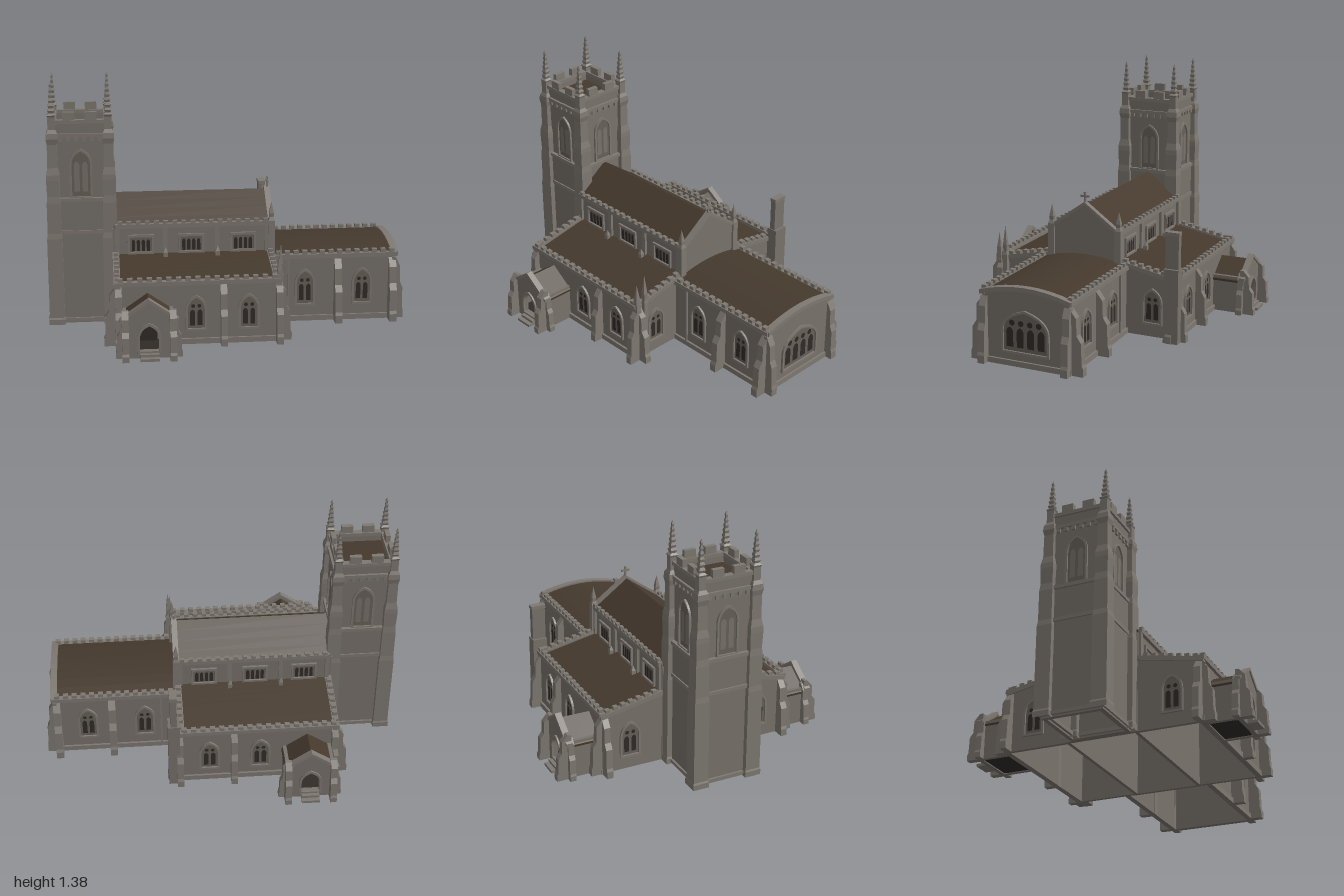
import * as THREE from 'three';
import { mergeGeometries } from 'three/addons/utils/BufferGeometryUtils.js';

const mat = (name, color) => Object.assign(new THREE.MeshStandardMaterial({ color }), { name });

export function createModel() {
  const stone = mat('stone', 0x78726b), trim = mat('dressed stone', 0x7e7871);
  const shade = mat('tracery stone', 0x676159), roofMat = mat('roof lead', 0x45392d);
  const glass = mat('dark glass', 0x302b27);
  const church = new THREE.Group();
  church.name = 'church';

  const add = (name, geo, m, parent = church) => {
    const mesh = new THREE.Mesh(geo, m);
    mesh.name = name;
    parent.add(mesh);
    return mesh;
  };
  const block = (x0, x1, y0, y1, z0, z1) =>
    new THREE.BoxGeometry(Math.abs(x1 - x0), y1 - y0, Math.abs(z1 - z0))
      .translate((x0 + x1) / 2, (y0 + y1) / 2, (z0 + z1) / 2);
  const box = (name, m, ...r) => add(name, block(...r), m);
  const poly = pts => new THREE.Shape(pts.map(p => new THREE.Vector2(...p)));
  const extrude = (shape, depth) =>
    new THREE.ExtrudeGeometry(shape, { depth, bevelEnabled: false, curveSegments: 6 });

  // Outline in z and y, stretched from x0 to x1
  const slab = (name, m, pts, x0, x1) =>
    add(name, extrude(poly(pts), x1 - x0).rotateY(-Math.PI / 2).translate(x1, 0, 0), m);
  // Band of thickness t hanging under a height rule f(z)
  const band = (f, z0, z1, t, n = 8) => {
    const top = Array.from({ length: n + 1 }, (_, i) => z0 + (z1 - z0) * i / n).map(z => [z, f(z)]);
    return [...top, ...top.map(([z, y]) => [z, y - t]).reverse()];
  };
  const roof = (name, f, z0, z1, x0, x1) => {
    slab(name, roofMat, band(f, z0, z1, 0.012), x0, x1);
    slab(name + 'Ceiling', stone, band(z => f(z) - 0.013, z0, z1, 0.006), x0, x1);
  };
  // Row of merlons between two points
  const battlements = (name, a, b, n, w, h, d) => {
    const alongX = Math.abs(b[0] - a[0]) > Math.abs(b[2] - a[2]);
    const geos = Array.from({ length: n }, (_, i) => {
      const p = a.map((v, k) => v + (b[k] - v) * (i + 0.5) / n);
      return new THREE.BoxGeometry(alongX ? w : d, h, alongX ? d : w).translate(...p);
    });
    add(name, mergeGeometries(geos), trim);
  };
  // Square tapering post from [half width, y] steps
  const post = (name, x, z, steps, m = trim) => {
    const pts = steps.map(([r, y]) => new THREE.Vector2(r * Math.SQRT2, y));
    const g = new THREE.LatheGeometry(pts, 4, Math.PI / 4).toNonIndexed();
    g.computeVertexNormals();
    add(name, g.translate(x, 0, z), m);
  };
  // Stepped buttress; angle 0 projects to +x, -90 degrees to +z
  const buttress = (x, z, angle, d, w, h) => {
    const s = poly([[-0.02, 0], [d, 0], [d, 0.12 * h], [d * 0.9, 0.17 * h], [d * 0.85, 0.5 * h],
      [d * 0.55, 0.6 * h], [d * 0.5, 0.86 * h], [0, h], [-0.02, h]]);
    add('buttress', extrude(s, w).translate(0, 0, -w / 2).rotateY(angle).translate(x, 0, z), trim);
  };
  const OUT = s => -s * Math.PI / 2;

  // Pointed arch outline
  const arch = (Type, w, h, x = 0, y = 0) => {
    const r = Math.min(0.75 * w, 0.5 * h), p = new Type();
    p.moveTo(x - w / 2, y);
    p.lineTo(x + w / 2, y);
    p.lineTo(x + w / 2, y + h - r);
    p.quadraticCurveTo(x + w / 2, y + h - 0.3 * r, x, y + h);
    p.quadraticCurveTo(x - w / 2, y + h - 0.3 * r, x - w / 2, y + h - r);
    p.lineTo(x - w / 2, y);
    return p;
  };
  const rect = (Type, w, h, x = 0, y = 0) => new Type([[-1, 0], [1, 0], [1, 1], [-1, 1]]
    .map(([a, b]) => new THREE.Vector2(x + a * w / 2, y + b * h)));
  // Window facing +z before turning: hood, tracery panel and dark lights
  const windowAt = (name, x, y, z, turn, w, h, lights, { square = false, lightH = 0.45, eyes = true, pane = glass } = {}) => {
    const g = new THREE.Group(), outline = square ? rect : arch;
    g.name = name;
    const ring = outline(THREE.Shape, w, h);
    ring.holes.push(outline(THREE.Path, w - 0.024, h - 0.026, 0, 0.012));
    add('windowFrame', extrude(ring, 0.012), trim, g);
    add('tracery', new THREE.ShapeGeometry(outline(THREE.Shape, w - 0.02, h - 0.02, 0, 0.01)).translate(0, 0, 0.002), shade, g);
    const step = (w - 0.035) / lights;
    for (let i = 0; i < lights; i++) {
      const lx = (i - (lights - 1) / 2) * step;
      add('light', new THREE.ShapeGeometry(arch(THREE.Shape, step * 0.66, h * lightH, lx, h * 0.14)).translate(0, 0, 0.004), pane, g);
      if (eyes) add('upperLight', new THREE.CircleGeometry(step * 0.27, 8).translate(lx * 0.85, h * 0.69, 0.004), pane, g);
    }
    g.position.set(x, y, z);
    g.rotation.y = turn;
    church.add(g);
  };
  const FACE = s => (s > 0 ? 0 : Math.PI);

  // Tower walls, floor bands and roof
  const tx = -0.8;
  for (const s of [1, -1]) {
    box('towerWall', stone, -0.965, -0.635, 0, 0.72, s * 0.145, s * 0.168);
    box('towerWall', stone, tx + s * 0.142, tx + s * 0.165, 0, 0.72, -0.145, 0.145);
    box('belfryWall', stone, -0.955, -0.645, 0.72, 1.14, s * 0.135, s * 0.155);
    box('belfryWall', stone, tx + s * 0.135, tx + s * 0.155, 0.72, 1.14, -0.135, 0.135);
    for (const [y, r] of [[0.02, 0.178], [0.53, 0.175], [0.715, 0.176], [1.075, 0.168], [1.15, 0.166]]) {
      box('towerStringCourse', trim, tx - r, tx + r, y - 0.01, y + 0.01, s * 0.13, s * r);
      box('towerStringCourse', trim, tx + s * 0.13, tx + s * r, y - 0.01, y + 0.01, -0.13, 0.13);
    }
    battlements('towerCorbels', [tx - 0.13, 1.055, s * 0.158], [tx + 0.13, 1.055, s * 0.158], 6, 0.02, 0.025, 0.016);
    battlements('towerCorbels', [tx + s * 0.158, 1.055, -0.13], [tx + s * 0.158, 1.055, 0.13], 6, 0.02, 0.025, 0.016);
    battlements('towerMerlons', [tx - 0.12, 1.18, s * 0.15], [tx + 0.12, 1.18, s * 0.15], 2, 0.065, 0.045, 0.026);
    battlements('towerMerlons', [tx + s * 0.15, 1.18, -0.12], [tx + s * 0.15, 1.18, 0.12], 2, 0.065, 0.045, 0.026);
    const louvre = { lightH: 0.6, eyes: false, pane: stone };
    windowAt('belfryWindow', tx, 0.72, s * 0.155, FACE(s), 0.125, 0.28, 2, louvre);
    windowAt('belfryWindow', tx + s * 0.155, 0.72, 0, s * Math.PI / 2, 0.125, 0.28, 2, louvre);
    // Corner posts with knobbly pinnacles
    for (const e of [1, -1]) {
      const steps = [[0.046, 0], [0.046, 0.03], [0.042, 0.04], [0.042, 0.5], [0.038, 0.53], [0.038, 0.7], [0.034, 0.74],
        [0.037, 0.83], [0.036, 0.86], [0.028, 0.9], [0.027, 1.03], [0.033, 1.06], [0.03, 1.09], [0.02, 1.11], [0.02, 1.18], [0.024, 1.19]];
      for (let i = 0; i < 6; i++) {
        const r = 0.018 - i * 0.0023, y = 1.2 + i * 0.028;
        steps.push([r * 0.75, y], [r, y + 0.014]);
      }
      steps.push([0, 1.375]);
      post('towerCornerPost', tx + e * 0.153, s * 0.155, steps);
    }
  }
  box('towerRoof', roofMat, -0.94, -0.66, 1.09, 1.105, -0.137, 0.137);

  // Nave: gable ends, steep roof, cross
  const naveTop = z => 0.71 - Math.abs(z) * 0.72;
  const gable = h => [[-0.2, 0], [0.2, 0], [0.2, 0.57 + h], [0, 0.71 + h], [-0.2, 0.57 + h]];
  slab('naveEastGable', stone, gable(0.005), 0.235, 0.255);
  slab('naveWestGable', stone, gable(-0.02), -0.635, -0.615);
  slab('gableCoping', trim, band(z => naveTop(z) + 0.015, -0.215, 0.215, 0.02), 0.23, 0.262);
  roof('naveRoof', naveTop, -0.2, 0.2, -0.63, 0.235);
  box('crossShaft', trim, 0.243, 0.253, 0.71, 0.78, -0.006, 0.006);
  box('crossArms', trim, 0.243, 0.253, 0.75, 0.762, -0.026, 0.026);

  const aisleTop = z => 0.405 - (Math.abs(z) - 0.2) * 0.2;
  for (const s of [1, -1]) {
    // Clerestory
    box('naveWall', stone, -0.63, 0.24, 0, 0.57, s * 0.18, s * 0.2);
    box('naveParapet', trim, -0.62, 0.25, 0.555, 0.578, s * 0.19, s * 0.218);
    battlements('naveMerlons', [-0.62, 0.585, s * 0.207], [0.24, 0.585, s * 0.207], 17, 0.026, 0.018, 0.02);
    for (const x of [-0.48, -0.2, 0.09])
      windowAt('clerestoryWindow', x, 0.405, s * 0.2, FACE(s), 0.145, 0.11, 4, { square: true, lightH: 0.6, eyes: false });
    for (const x of [-0.61, -0.345, -0.055, 0.225])
      box('clerestoryPilaster', trim, x - 0.012, x + 0.012, 0.38, 0.56, s * 0.2, s * 0.215);
    for (const x of [-0.345, -0.055])
      post('waterSpout', x, s * 0.235, [[0.012, 0.39], [0.012, 0.42], [0, 0.45]]);
    post('naveFinial', 0.248, s * 0.205, [[0.02, 0.38], [0.018, 0.58], [0.011, 0.6], [0.013, 0.62], [0, 0.69]]);

    // Aisle walls, lean-to roof and parapets
    box('aisleWall', stone, -0.63, 0.25, 0, 0.345, s * 0.53, s * 0.55);
    box('aislePlinth', trim, -0.64, 0.26, 0, 0.03, s * 0.535, s * 0.562);
    box('aisleParapet', trim, -0.635, 0.255, 0.335, 0.358, s * 0.53, s * 0.566);
    battlements('aisleMerlons', [-0.63, 0.366, s * 0.548], [0.25, 0.366, s * 0.548], 17, 0.028, 0.022, 0.026);
    roof('aisleRoof', aisleTop, s * 0.2, s * 0.53, -0.615, 0.235);
    for (const x of [-0.63, 0.23]) {
      slab('aisleEndWall', stone, [[s * 0.2, 0], [s * 0.53, 0], [s * 0.53, 0.345], [s * 0.2, 0.4]], x, x + 0.02);
      slab('aisleEndParapet', trim, band(z => aisleTop(z) + 0.013, s * 0.2, s * 0.56, 0.025, 1), x - 0.008, x + 0.028);
      battlements('aisleEndMerlons', [x + 0.01, 0.418, s * 0.22], [x + 0.01, 0.356, s * 0.54], 7, 0.026, 0.024, 0.028);
    }
    for (const x of [-0.2, 0.085]) windowAt('aisleWindow', x, 0.075, s * 0.55, FACE(s), 0.115, 0.2, 2);
    windowAt('aisleEastWindow', 0.25, 0.07, s * 0.41, Math.PI / 2, 0.12, 0.21, 2);
    windowAt('aisleWestWindow', -0.63, 0.07, s * 0.39, -Math.PI / 2, 0.12, 0.21, 2);
    for (const x of [-0.615, -0.052, 0.25]) buttress(x, s * 0.55, OUT(s), 0.065, 0.036, 0.33);
    buttress(-0.63, s * 0.535, Math.PI, 0.065, 0.036, 0.33);
    buttress(0.25, s * 0.53, 0, 0.07, 0.036, 0.33);

    // Chancel sides
    box('chancelWall', stone, 0.25, 0.95, 0, 0.38, s * 0.232, s * 0.252);
    box('chancelPlinth', trim, 0.25, 0.96, 0, 0.03, s * 0.235, s * 0.264);
    box('chancelParapet', trim, 0.25, 0.955, 0.368, 0.392, s * 0.235, s * 0.268);
    battlements('chancelMerlons', [0.26, 0.401, s * 0.25], [0.95, 0.401, s * 0.25], 14, 0.028, 0.022, 0.026);
    for (const x of [0.435, 0.76]) windowAt('chancelWindow', x, 0.09, s * 0.252, FACE(s), 0.115, 0.215, 2);
    for (const x of [0.62, 0.93]) buttress(x, s * 0.25, OUT(s), 0.078, 0.04, 0.36);
    buttress(0.95, s * 0.243, 0, 0.05, 0.04, 0.36);
    box('drainPipe', trim, 0.335, 0.347, 0, 0.37, s * 0.25, s * 0.263);

    // Porch: side walls, gable front with open arch, roof
    const px = -0.46, z = v => s * v;
    for (const e of [1, -1]) {
      box('porchWall', stone, px + e * 0.115, px + e * 0.135, 0, 0.215, z(0.55), z(0.73));
      buttress(px + e * 0.125, z(0.735), OUT(s), 0.065, 0.036, 0.26);
      buttress(px + e * 0.13, z(0.72), e > 0 ? 0 : Math.PI, 0.045, 0.034, 0.24);
    }
    const front = poly([[-0.14, 0], [0.14, 0], [0.14, 0.215], [0, 0.315], [-0.14, 0.215]]);
    front.holes.push(arch(THREE.Path, 0.1, 0.14, 0, 0.04));
    add('porchFront', extrude(front, 0.025).translate(px, 0, s > 0 ? 0.715 : -0.74), stone);
    const chevron = (y, t, w) => poly([[-w, y - w * 0.7], [0, y], [w, y - w * 0.7], [w, y - w * 0.7 - t], [0, y - t], [-w, y - w * 0.7 - t]]);
    add('porchCoping', extrude(chevron(0.325, 0.018, 0.155), 0.036).translate(px, 0, s > 0 ? 0.712 : -0.748), trim);
    add('porchRoof', extrude(chevron(0.295, 0.012, 0.142), 0.17).translate(px, 0, s > 0 ? 0.545 : -0.715), roofMat);
    const hood = arch(THREE.Shape, 0.125, 0.165, 0, 0.03);
    hood.holes.push(arch(THREE.Path, 0.1, 0.138, 0, 0.041));
    add('porchArch', extrude(hood, 0.012).translate(px, 0, s > 0 ? 0.738 : -0.75), trim);
    box('porchFloor', glass, px - 0.12, px + 0.12, 0.005, 0.03, z(0.55), z(0.72));
    box('porchStep', trim, px - 0.05, px + 0.05, 0, 0.03, z(0.74), z(0.77));
    box('porchStep', trim, px - 0.05, px + 0.05, 0, 0.015, z(0.77), z(0.795));
    add('porchDoor', new THREE.ShapeGeometry(arch(THREE.Shape, 0.1, 0.15)).rotateY(FACE(s)).translate(px, 0.03, s * 0.566), glass);
  }

  // Chancel roof and east end
  const chancelTop = z => 0.425 - 0.6 * z * z;
  roof('chancelRoof', chancelTop, -0.235, 0.235, 0.255, 0.94);
  slab('chancelEastWall', stone, [[-0.25, 0], [0.25, 0], ...band(chancelTop, 0.25, -0.25, 0).slice(0, 9)], 0.93, 0.95);
  slab('chancelEastCoping', trim, band(z => chancelTop(z) + 0.01, -0.262, 0.262, 0.024), 0.924, 0.962);
  box('eastPlinth', trim, 0.94, 0.962, 0, 0.03, -0.25, 0.25);
  windowAt('eastWindow', 0.95, 0.07, 0, Math.PI / 2, 0.28, 0.24, 4);

  // Chimney and the slim pinnacles on the opposite corner
  box('chimneyBase', stone, 0.25, 0.315, 0, 0.42, -0.585, -0.5);
  box('chimneyStack', stone, 0.265, 0.3, 0.42, 0.61, -0.58, -0.503);
  box('chimneyCap', trim, 0.262, 0.303, 0.605, 0.625, -0.583, -0.5);
  post('cornerPinnacle', 0.262, 0.5, [[0.014, 0], [0.014, 0.36], [0.01, 0.38], [0.012, 0.42], [0, 0.535]]);
  post('cornerPinnacle', 0.25, 0.545, [[0.016, 0.3], [0.014, 0.36], [0.012, 0.4], [0, 0.485]]);
  return church;
}
